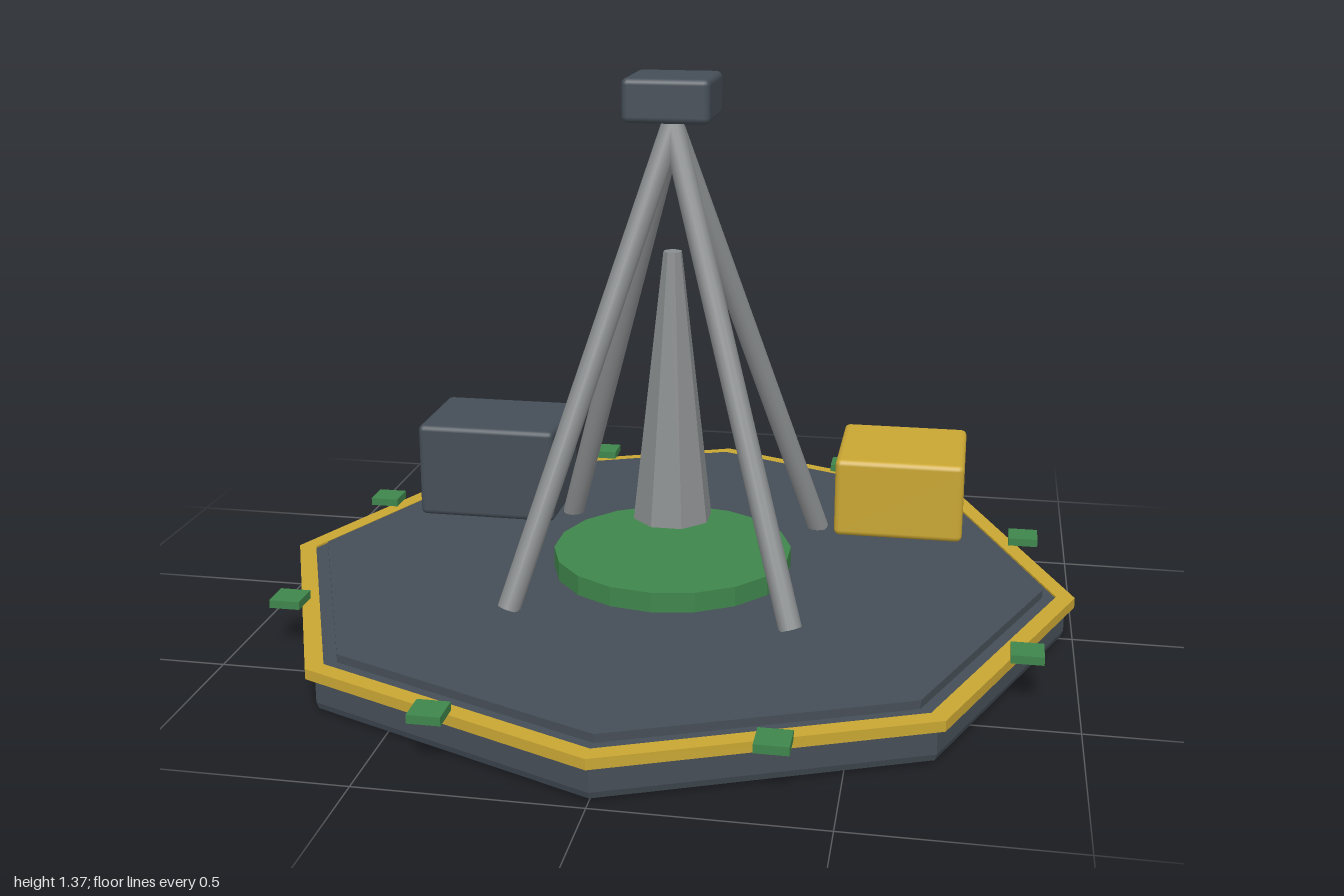
import * as THREE from 'three';
import { RoundedBoxGeometry } from 'three/addons/geometries/RoundedBoxGeometry.js';

const material = (name, color, flatShading = false) => {
  const m = new THREE.MeshStandardMaterial({ color, flatShading });
  m.name = name;
  return m;
};

export function createModel() {
  const model = new THREE.Group();
  model.name = 'beaconPlatform';

  const slate = material('slate', 0x454e57);
  const yellow = material('yellow', 0xc9a633);
  const green = material('green', 0x3f864c);
  const steel = material('steel', 0x8a8d8f);

  const add = (name, geometry, mat, x = 0, y = 0, z = 0) => {
    const mesh = new THREE.Mesh(geometry, mat);
    mesh.name = name;
    mesh.position.set(x, y, z);
    model.add(mesh);
    return mesh;
  };

  // Faceted solid of revolution from [radius, height] pairs
  const faceted = (points, sides) => {
    const lathe = new THREE.LatheGeometry(points.map(p => new THREE.Vector2(...p)), sides);
    const g = lathe.toNonIndexed();
    g.computeVertexNormals();
    return g;
  };
  const disc = (r, y0, y1, sides) => faceted([[0, y0], [r, y0], [r, y1], [0, y1]], sides);

  // Rounded box given by its two corners
  const box = (name, mat, [x0, y0, z0], [x1, y1, z1], radius = 0.015) =>
    add(name, new RoundedBoxGeometry(x1 - x0, y1 - y0, z1 - z0, 2, radius), mat,
      (x0 + x1) / 2, (y0 + y1) / 2, (z0 + z1) / 2);

  // Octagonal hull with a softened lower edge, bumper ring and raised deck
  add('hull', faceted([[0, 0], [0.955, 0], [0.971, 0.006], [0.977, 0.022], [0.977, 0.105], [0, 0.105]], 8), slate);
  add('bumperRing', faceted([[1, 0.085], [1, 0.11], [0.955, 0.11], [0.955, 0.085], [1, 0.085]], 8), yellow);
  add('deck', disc(0.922, 0.1, 0.125, 8), slate);

  // Central round plinth and the tapered spike floating above it
  add('plinth', disc(0.3, 0.12, 0.175, 18), green);
  const spike = faceted([[0, 0.26], [0.1, 0.26], [0.023, 0.94], [0, 0.94]], 8);
  add('spike', spike.rotateY(Math.PI / 8), steel);

  // Four leaning mast legs
  const up = new THREE.Vector3(0, 1, 0);
  for (const sx of [-1, 1]) for (const sz of [-1, 1]) {
    const foot = new THREE.Vector3(sx * 0.338, 0.125, sz * 0.338);
    const top = new THREE.Vector3(0, 1.245, 0);
    const dir = top.clone().sub(foot);
    const leg = add('mastLeg', new THREE.CylinderGeometry(0.028, 0.028, dir.length(), 12), steel);
    leg.position.copy(foot).add(top).multiplyScalar(0.5);
    leg.quaternion.setFromUnitVectors(up, dir.normalize());
  }
  box('mastHead', slate, [-0.105, 1.26, -0.105], [0.105, 1.365, 0.105]);

  // Equipment boxes on the deck
  box('equipmentCabinet', slate, [-0.745, 0.125, -0.53], [-0.37, 0.38, -0.24]);
  box('batteryBox', yellow, [0.385, 0.13, -0.6], [0.72, 0.34, -0.265]);

  // Marker pads at the middle of each rim edge
  for (let i = 0; i < 8; i++) {
    const a = (i + 0.5) * Math.PI / 4;
    add('markerPad', new THREE.BoxGeometry(0.075, 0.02, 0.075), green,
      0.952 * Math.sin(a), 0.12, 0.952 * Math.cos(a));
  }

  return model;
}
